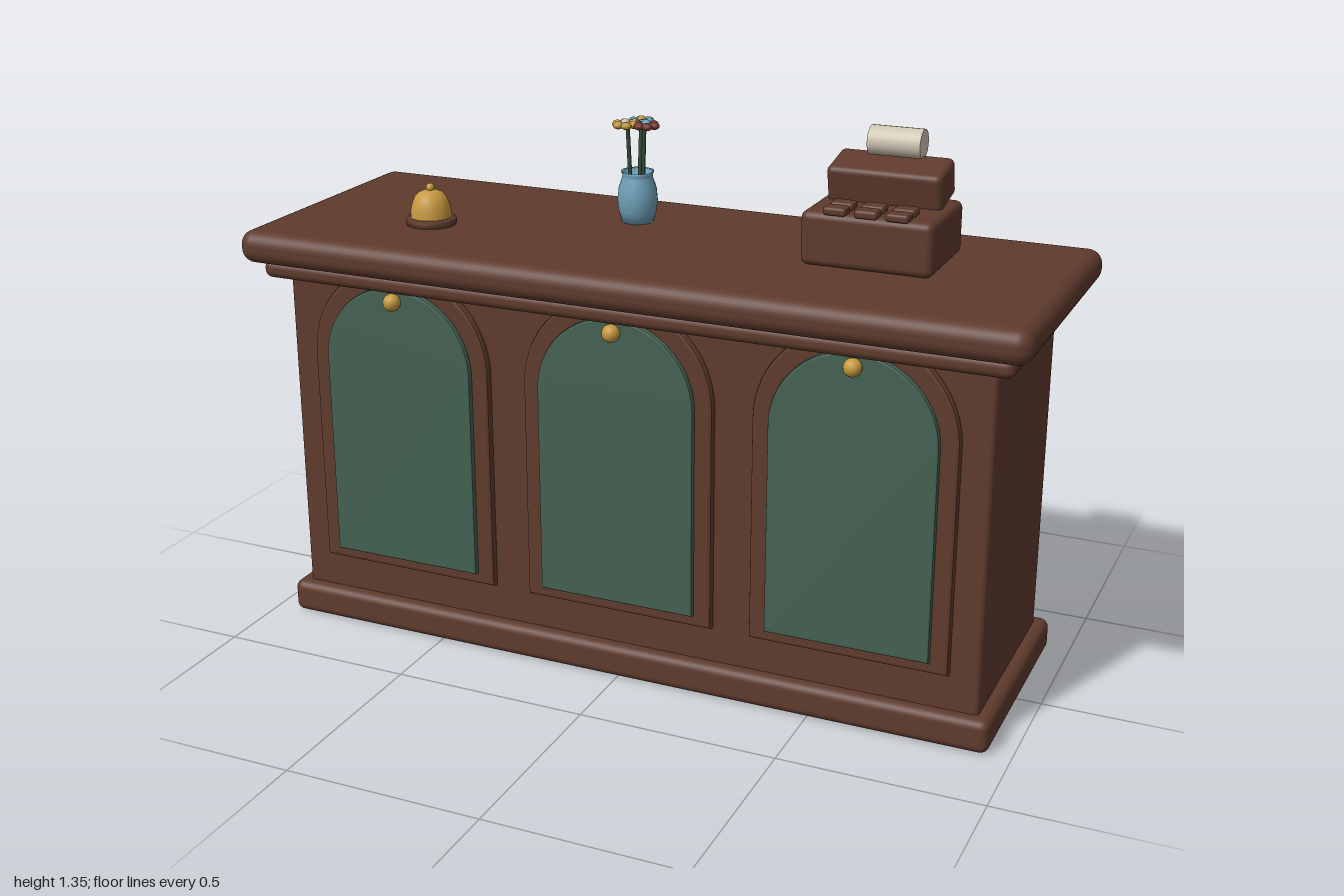
import * as THREE from 'three';
import { RoundedBoxGeometry } from 'three/addons/geometries/RoundedBoxGeometry.js';

const material = (name, color) => {
  const m = new THREE.MeshStandardMaterial({ color });
  m.name = name;
  return m;
};

export function createModel() {
  const wood = material('wood', 0x5f3b2d);
  const green = material('green panel', 0x446253);
  const brass = material('brass', 0xc6983f);
  const glaze = material('blue glaze', 0x6d9fb6);
  const paper = material('paper', 0xcfc5b2);
  const stemGreen = material('stem green', 0x2f4a3a);
  const red = material('red petal', 0x7a3a32);

  const model = new THREE.Group();
  model.name = 'shopCounter';

  function add(parent, name, geometry, mat, x = 0, y = 0, z = 0) {
    const mesh = new THREE.Mesh(geometry, mat);
    mesh.name = name;
    mesh.position.set(x, y, z);
    parent.add(mesh);
    return mesh;
  }
  function group(name, x, y, z) {
    const g = new THREE.Group();
    g.name = name;
    g.position.set(x, y, z);
    model.add(g);
    return g;
  }
  const box = (w, h, d, r) => new RoundedBoxGeometry(w, h, d, 4, r);
  const lathe = (points, segments = 32) =>
    new THREE.LatheGeometry(points.map(([x, y]) => new THREE.Vector2(x, y)), segments);

  // Counter carcass
  add(model, 'plinth', box(1.89, 0.085, 0.602, 0.022), wood, 0, 0.0425, 0);
  add(model, 'body', box(1.824, 0.92, 0.536, 0.012), wood, 0, 0.51, 0);
  add(model, 'cornice', box(1.914, 0.046, 0.644, 0.02), wood, 0, 0.952, 0);
  add(model, 'countertop', box(2, 0.083, 0.73, 0.036), wood, 0, 1.0135, 0);

  // Arched plate with a small bevel, overall half width r, starting at bottom
  function arch(r, bottom, spring, depth, bevel) {
    const s = new THREE.Shape();
    const q = r - bevel;
    s.moveTo(-q, bottom + bevel);
    s.lineTo(q, bottom + bevel);
    s.lineTo(q, spring);
    s.absarc(0, spring, q, 0, Math.PI, false);
    s.closePath();
    return new THREE.ExtrudeGeometry(s, {
      depth: depth - bevel, bevelEnabled: true, bevelSize: bevel,
      bevelThickness: bevel, bevelSegments: 2, curveSegments: 20,
    });
  }

  // Three arched doors, each with a brass knob
  for (const x of [-0.592, 0, 0.592]) {
    const door = group('door', x, 0, 0);
    add(door, 'archFrame', arch(0.247, 0.177, 0.74, 0.026, 0.008), wood, 0, 0, 0.26);
    add(door, 'archPanel', arch(0.203, 0.208, 0.735, 0.02, 0.005), green, 0, 0, 0.28);
    add(door, 'knob', new THREE.SphereGeometry(0.022, 20, 14), brass, 0, 0.907, 0.31);
  }

  // Service bell
  const bell = group('bell', -0.593, 1.055, 0.103);
  add(bell, 'bellBase', lathe([[0, 0], [0.063, 0], [0.063, 0.014], [0.058, 0.02], [0, 0.02]]), wood);
  add(bell, 'bellDome', lathe([[0.052, 0.019], [0.051, 0.035], [0.047, 0.053], [0.04, 0.07],
    [0.029, 0.081], [0.015, 0.087], [0, 0.089]]), brass);
  add(bell, 'bellButton', new THREE.SphereGeometry(0.011, 14, 10), brass, 0, 0.093, 0);

  // Vase
  const vase = group('vase', -0.132, 1.055, -0.132);
  const vaseMesh = add(vase, 'vaseBody', lathe([[0, 0], [0.041, 0], [0.048, 0.03], [0.051, 0.055], [0.048, 0.085],
    [0.039, 0.112], [0.038, 0.12], [0.042, 0.129], [0.035, 0.126], [0.032, 0.11], [0, 0.1]], 24), glaze);
  vaseMesh.material.side = THREE.DoubleSide;

  // Three flowers: [x, z, petals, centre]
  const flowers = [
    [-0.004, -0.034, glaze, brass],
    [-0.026, 0.014, brass, paper],
    [0.026, 0.004, red, glaze],
  ];
  for (const [x, z, petalMat, centreMat] of flowers) {
    const foot = new THREE.Vector3(x * 0.6, 0.09, z * 0.5);
    const tip = new THREE.Vector3(x * 0.8, 0.245, z * 0.9);
    add(vase, 'stem', new THREE.TubeGeometry(new THREE.LineCurve3(foot, tip), 1, 0.0055, 8), stemGreen);
    for (let i = 0; i < 6; i++) {
      const a = (i / 6) * Math.PI * 2;
      const petal = add(vase, 'petal', new THREE.SphereGeometry(0.0135, 10, 8), petalMat,
        x + Math.cos(a) * 0.022, 0.247, z + Math.sin(a) * 0.022);
      petal.scale.y = 0.7;
    }
    add(vase, 'flowerCentre', new THREE.SphereGeometry(0.012, 10, 8), centreMat, x, 0.25, z);
  }

  // Cash register
  const register = group('cashRegister', 0.535, 1.055, 0);
  add(register, 'registerBase', box(0.32, 0.13, 0.255, 0.018), wood, 0, 0.065, -0.052);
  const head = add(register, 'registerHead', box(0.28, 0.093, 0.122, 0.015), wood, 0, 0.177, -0.108);
  head.rotation.x = 0.21;
  for (const x of [-0.075, 0, 0.075])
    for (const z of [0.062, 0.01])
      add(register, 'key', box(0.055, 0.02, 0.042, 0.007), wood, x, 0.137, z);
  const roll = add(register, 'paperRoll', new THREE.CylinderGeometry(0.036, 0.036, 0.13, 28), paper, 0, 0.26, -0.149);
  roll.rotation.z = Math.PI / 2;

  return model;
}
